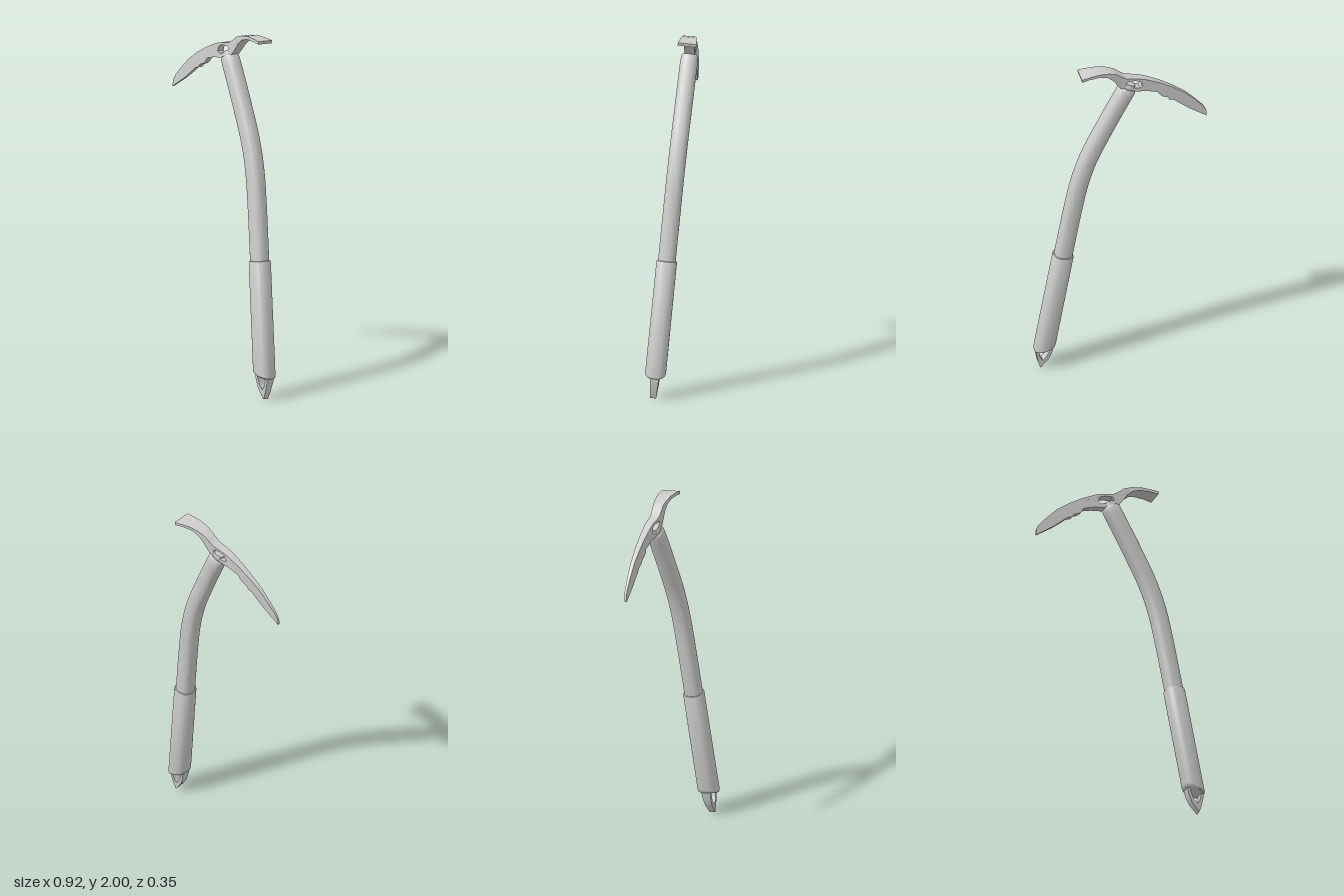
import * as THREE from 'three';
import { toCreasedNormals } from 'three/addons/utils/BufferGeometryUtils.js';

const material = new THREE.MeshStandardMaterial({ color: 0xcccccc });

// Everything is drawn in the axe's own flat plane (u, v, thickness w), then leaned into place.
const normal = new THREE.Vector3(-0.16, 0.088, 1).normalize();
const lean = new THREE.Matrix4()
  .makeBasis(new THREE.Vector3(1, 0, 0.16), new THREE.Vector3(0, 1, -0.088), normal)
  .setPosition(0, 0, 0.06);

function addPart(group, name, geometry, crease) {
  geometry.applyMatrix4(lean);
  const mesh = new THREE.Mesh(toCreasedNormals(geometry, crease), material);
  mesh.name = name;
  group.add(mesh);
}

// Rounded-square tube along a flat curve; each ring is [t, half width, half depth, end slant]
function sweep(curve, rings, sides = 32) {
  const pos = [], index = [];
  const soft = (c) => Math.sign(c) * Math.pow(Math.abs(c), 2 / 2.5);
  rings.forEach(([t, a, b, slant = 0]) => {
    const c = curve.getPointAt(t), d = curve.getTangentAt(t);
    const px = -d.y + slant * d.x, py = d.x + slant * d.y;
    for (let j = 0; j < sides; j++) {
      const ang = (j / sides) * Math.PI * 2;
      const s = a * soft(Math.cos(ang));
      pos.push(c.x + s * px, c.y + s * py, b * soft(Math.sin(ang)));
    }
  });
  for (let i = 0; i < rings.length - 1; i++) {
    for (let j = 0; j < sides; j++) {
      const k = (j + 1) % sides, r = i * sides, n = r + sides;
      index.push(r + j, r + k, n + j, r + k, n + k, n + j);
    }
  }
  const last = (rings.length - 1) * sides;
  for (let j = 1; j < sides - 1; j++) {
    index.push(0, j + 1, j, last, last + j, last + j + 1);
  }
  const g = new THREE.BufferGeometry();
  g.setAttribute('position', new THREE.Float32BufferAttribute(pos, 3));
  g.setIndex(index);
  g.computeVertexNormals();
  return g;
}

const points = (list) => list.map(([x, y]) => new THREE.Vector2(x, y));

// Flat plate with a hole, whose half thickness (and sideways offset) varies over the outline
function plate(outline, hole, halfThickness, offset = () => 0) {
  const shape = new THREE.Shape(points(outline));
  shape.holes.push(new THREE.Path(points(hole)));
  const g = new THREE.ExtrudeGeometry(shape, { depth: 2, bevelEnabled: false });
  const p = g.attributes.position;
  for (let i = 0; i < p.count; i++) {
    const x = p.getX(i), y = p.getY(i);
    p.setZ(i, (p.getZ(i) - 1) * halfThickness(x, y) + offset(x));
  }
  return g;
}

// Linear interpolation through [x, value] stops
function ramp(stops, x) {
  for (let i = 1; i < stops.length; i++) {
    const [x0, v0] = stops[i - 1], [x1, v1] = stops[i];
    if (x <= x1) return THREE.MathUtils.mapLinear(Math.max(x, x0), x0, x1, v0, v1);
  }
  return stops[stops.length - 1][1];
}

export function createModel() {
  const axe = new THREE.Group();
  axe.name = 'iceAxe';

  // Bent shaft with a softened upper rim
  const shaftCurve = new THREE.CatmullRomCurve3(
    [[-0.013, 1.86], [0.05, 1.73], [0.11, 1.6], [0.195, 1.4], [0.24, 1.24], [0.268, 1.08], [0.315, 0.75], [0.325, 0.68]]
      .map(([x, y]) => new THREE.Vector3(x, y, 0)));
  const shaftRings = [[0, 0.042, 0.038], [0.006, 0.048, 0.044], [0.014, 0.05, 0.047]];
  for (let i = 1; i <= 30; i++) shaftRings.push([0.014 + (0.986 * i) / 30, 0.05, 0.049]);
  addPart(axe, 'shaft', sweep(shaftCurve, shaftRings), 0.7);

  // Thicker hand grip, cut at a slant at the bottom
  const gripCurve = new THREE.LineCurve3(new THREE.Vector3(0.314, 0.762, 0), new THREE.Vector3(0.4, 0.13, 0));
  addPart(axe, 'grip', sweep(gripCurve, [
    [0, 0.05, 0.05], [0.004, 0.055, 0.055], [0.015, 0.057, 0.057],
    [0.97, 0.057, 0.058, 0.41], [0.99, 0.055, 0.056, 0.41], [1, 0.048, 0.049, 0.41],
  ]), 0.7);

  // Neck joining shaft and head
  const neckCurve = new THREE.LineCurve3(new THREE.Vector3(-0.022, 1.885, 0), new THREE.Vector3(0, 1.83, 0));
  addPart(axe, 'neck', sweep(neckCurve, [[0, 0.03, 0.027], [0.2, 0.036, 0.031], [1, 0.038, 0.034]]), 0.7);

  // Head: toothed pick, eye and flaring adze in one piece
  const head = [
    [-0.461, 1.606], [-0.36, 1.674], [-0.3, 1.722], [-0.275, 1.744], [-0.245, 1.753], [-0.235, 1.77],
    [-0.207, 1.78], [-0.188, 1.796], [-0.178, 1.816], [-0.12, 1.832], [-0.06, 1.84], [-0.03, 1.842],
    [0.01, 1.858], [0.035, 1.876], [0.058, 1.906], [0.085, 1.944], [0.115, 1.969], [0.158, 1.981],
    [0.217, 1.979], [0.262, 1.971], [0.265, 1.988], [0.215, 1.995], [0.16, 2], [0.107, 1.993],
    [0.065, 1.98], [0.033, 1.954], [0, 1.934], [-0.06, 1.926], [-0.105, 1.914], [-0.19, 1.876],
    [-0.262, 1.835], [-0.333, 1.786], [-0.397, 1.724], [-0.445, 1.67], [-0.46, 1.64],
  ];
  const eye = [
    [-0.088, 1.872], [-0.085, 1.892], [-0.074, 1.906], [-0.042, 1.914], [-0.005, 1.914],
    [0.004, 1.9], [-0.004, 1.885], [-0.03, 1.868], [-0.075, 1.862],
  ];
  const headWidth = [[-0.46, 0.006], [-0.2, 0.017], [0, 0.027], [0.06, 0.029], [0.12, 0.037], [0.265, 0.052]];
  addPart(axe, 'head', plate(head, eye, (x) => ramp(headWidth, x), (x) => Math.min(0, x) * 0.04), 0.6);

  // Looped spike at the foot
  const spike = [
    [0.42, 0.002], [0.434, 0.04], [0.453, 0.125], [0.44, 0.17], [0.37, 0.17], [0.352, 0.14],
    [0.36, 0.1], [0.378, 0.055],
  ];
  const spikeHole = [[0.41, 0.053], [0.425, 0.075], [0.436, 0.125], [0.43, 0.15], [0.375, 0.15], [0.372, 0.12], [0.388, 0.078]];
  addPart(axe, 'spike', plate(spike, spikeHole, (x, y) => ramp([[0, 0.017], [0.15, 0.027]], y)), 0.6);

  return axe;
}
